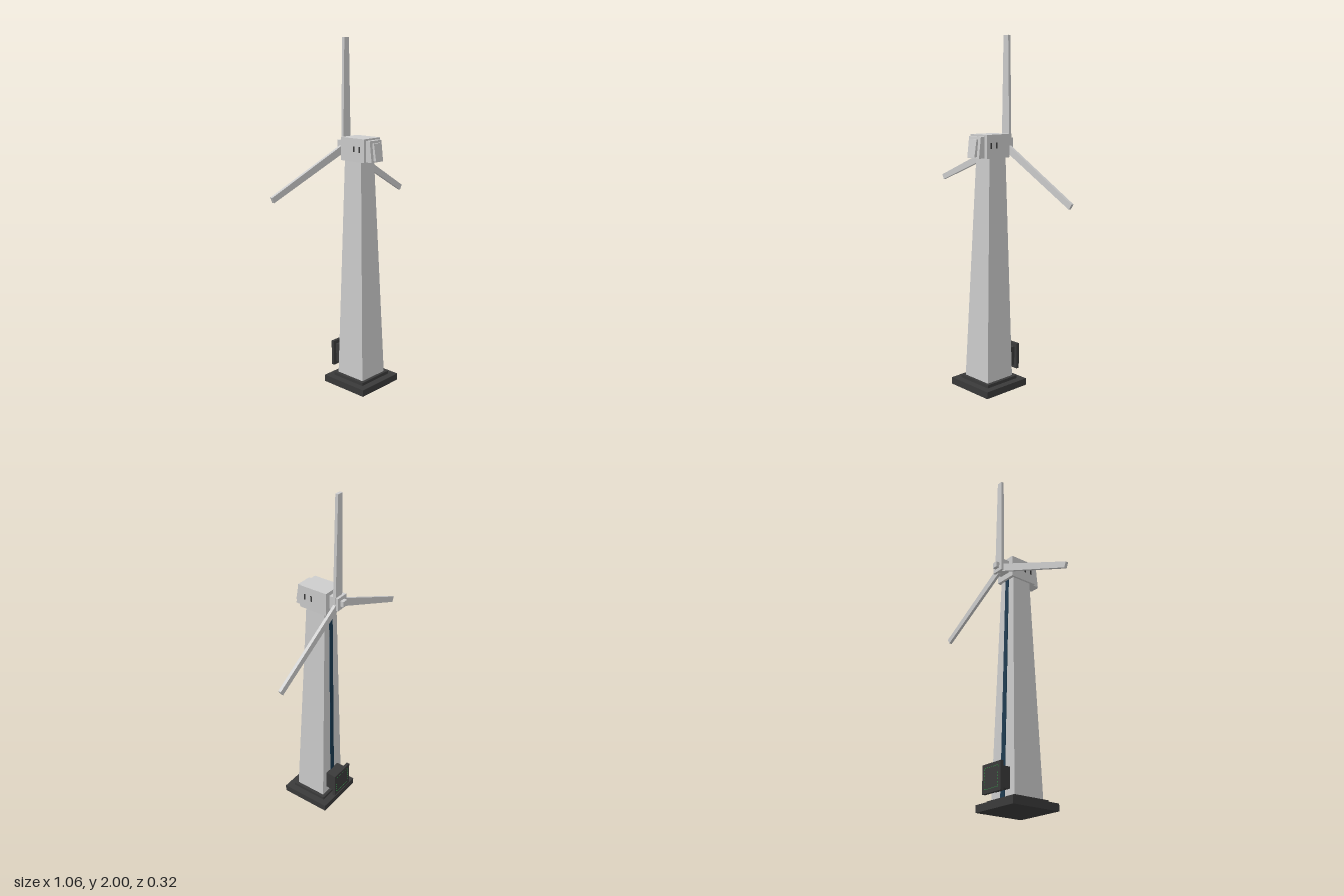
import * as THREE from 'three';

const C = 0.023; // centre line of the tower in x

export function createModel() {
  const model = new THREE.Group();
  const mat = (name, color) => {
    const m = new THREE.MeshStandardMaterial({ color });
    m.name = name;
    return m;
  };
  const grey = mat('lightGrey', 0xcccccc);
  const dark = mat('charcoal', 0x3a3a3a);
  const blue = mat('deepBlue', 0x17384f);
  const green = mat('signalGreen', 0x2fae4a);

  // Block from y0 to y1 with separate bottom and top half width and z range
  function block(name, material, y0, y1, [w0, a0, b0], [w1, a1, b1] = [w0, a0, b0], cx = C) {
    const g = new THREE.BoxGeometry(1, 1, 1);
    const p = g.attributes.position;
    for (let i = 0; i < p.count; i++) {
      const top = p.getY(i) > 0;
      const w = top ? w1 : w0;
      const z = p.getZ(i) > 0 ? (top ? b1 : b0) : (top ? a1 : a0);
      p.setXYZ(i, cx + Math.sign(p.getX(i)) * w, top ? y1 : y0, z);
    }
    g.computeVertexNormals();
    const mesh = new THREE.Mesh(g, material);
    mesh.name = name;
    model.add(mesh);
    return mesh;
  }

  // Stepped base and tapered tower, leaning slightly towards the back
  block('baseSlab', dark, 0, 0.04, [0.153, -0.144, 0.162]);
  block('baseStep', dark, 0.04, 0.058, [0.114, -0.104, 0.122]);
  block('tower', grey, 0.058, 1.335, [0.095, -0.087, 0.105], [0.054, -0.067, 0.055]);

  // Cable strip up the back of the tower
  block('cableStrip', blue, 0.058, 1.335, [0.017, -0.09, -0.08], [0.014, -0.07, -0.06]);

  // Nacelle with two sloping front panels
  block('nacelle', grey, 1.33, 1.46, [0.067, -0.085, 0.087]);
  block('nacelleFront', grey, 1.332, 1.45, [0.048, 0.08, 0.127], [0.048, 0.08, 0.113]);
  block('frontPanel', grey, 1.34, 1.436, [0.029, 0.1, 0.143], [0.029, 0.1, 0.127]);

  // Side vents
  for (const side of [-1, 1]) {
    for (const z of [0.055, 0.012]) {
      block('vent', dark, 1.384, 1.416, [0.001, z - 0.005, z + 0.005], undefined, C + side * 0.0675);
    }
  }

  // Hub and its nose
  block('hub', grey, 1.363, 1.437, [0.037, -0.142, -0.08]);
  block('hubNose', grey, 1.384, 1.416, [0.017, -0.162, -0.14]);

  // Three tapered flat blades, drawn as outlines in the rotor plane
  const blades = {
    topBlade: [[0.002, 1.4], [0.062, 1.4], [0.05, 2], [0.013, 2]],
    leftBlade: [[0.03, 1.361], [0.511, 1.079], [0.529, 1.108], [0.03, 1.41]],
    rightBlade: [[0.012, 1.367], [0.012, 1.416], [-0.534, 1.183], [-0.521, 1.153]],
  };
  for (const [name, pts] of Object.entries(blades)) {
    const shape = new THREE.Shape(pts.map(([x, y]) => new THREE.Vector2(x, y)));
    const g = new THREE.ExtrudeGeometry(shape, { depth: 0.017, bevelEnabled: false });
    const blade = new THREE.Mesh(g, grey);
    blade.name = name;
    blade.position.z = -0.127;
    model.add(blade);
  }

  // Control box on the back
  block('controlBox', dark, 0.097, 0.21, [0.057, -0.145, -0.078]);
  block('controlPlate', dark, 0.078, 0.23, [0.076, -0.162, -0.143]);

  // Dashed light border on the plate
  const light = (x, y, w, h) =>
    block('borderLight', green, y - h, y + h, [w, -0.163, -0.161], undefined, C + x);
  const r = 0.055, t = 0.0012, cy = 0.154;
  for (let i = 0; i < 7; i++) {
    const s = -0.048 + i * 0.016;
    for (const side of [-r, r]) {
      light(s, cy + side, 0.004, t);
      light(side, cy + s, t, 0.004);
    }
  }
  return model;
}
